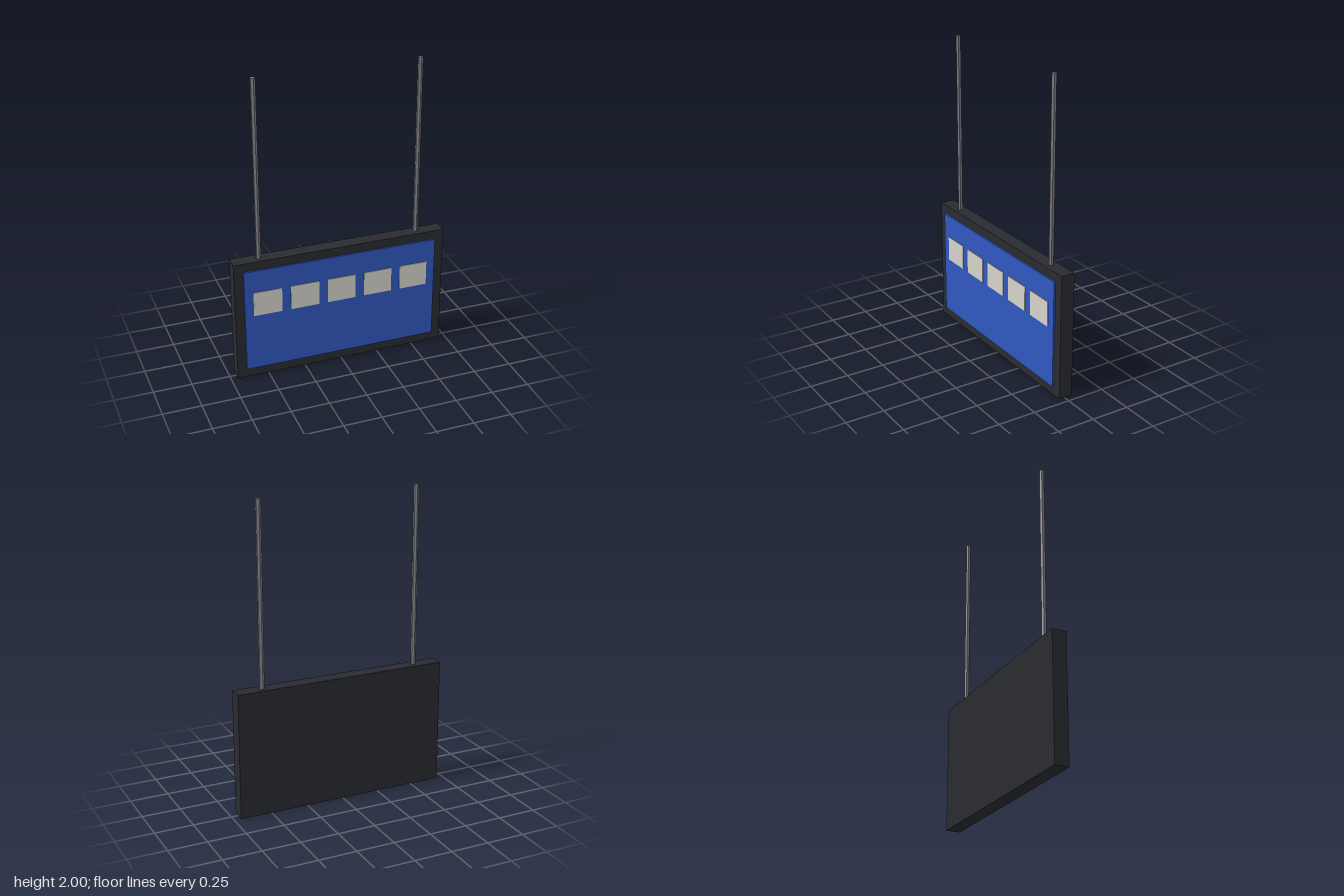
import * as THREE from 'three';

export function createModel() {
  const model = new THREE.Group();
  const paint = (color) => new THREE.MeshStandardMaterial({ color, flatShading: true });
  const casing = paint(0x2a2b30), blue = paint(0x3058c0), pale = paint(0xd6d3ca), steel = paint(0x7a7b7f);

  const add = (name, geometry, material, x, y, z) => {
    const mesh = new THREE.Mesh(geometry, material);
    mesh.name = name;
    mesh.position.set(x, y, z);
    model.add(mesh);
  };
  // box given by its width, vertical span and depth span
  const addBox = (name, material, x, width, y0, y1, z0, z1) =>
    add(name, new THREE.BoxGeometry(width, y1 - y0, z1 - z0), material, x, (y0 + y1) / 2, (z0 + z1) / 2);

  // sign casing and raised front panel
  addBox('signCase', casing, 0, 1.41, 0, 0.822, -0.054, 0.039);
  addBox('frontPanel', blue, 0, 1.29, 0.061, 0.764, 0.03, 0.05);

  // row of five pale tiles
  for (let i = 0; i < 5; i++) {
    addBox('tile' + (i + 1), pale, (i - 2) * 0.247, 0.188, 0.448, 0.613, 0.04, 0.054);
  }

  // hexagonal hanging rods
  for (const side of [-1, 1]) {
    add(side > 0 ? 'leftRod' : 'rightRod', new THREE.CylinderGeometry(0.0165, 0.0165, 1.18, 6),
      steel, side * 0.529, 1.41, -0.008);
  }

  return model;
}
